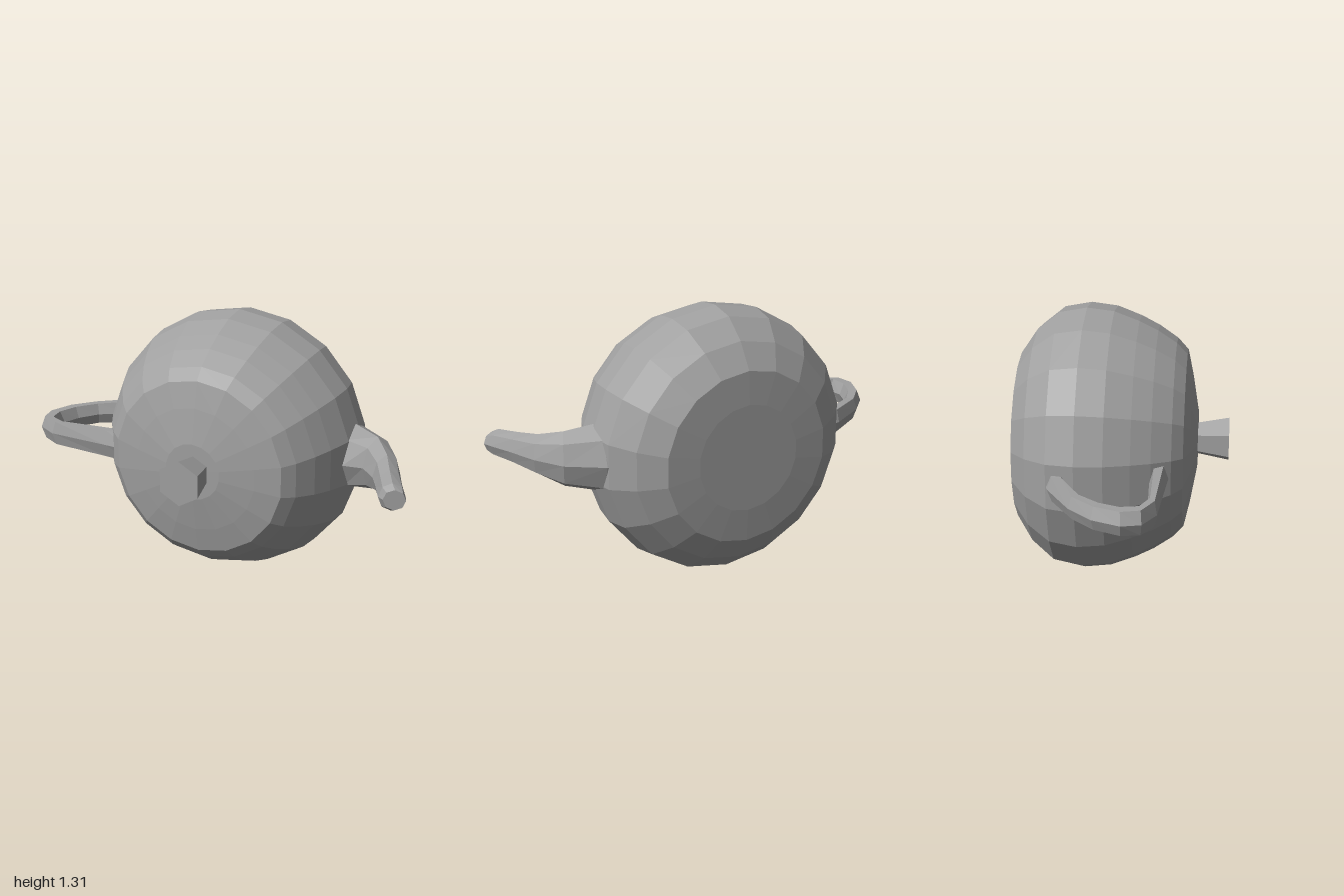
import * as THREE from 'three';

const CX = -0.015, CY = 0.655;

// Sweep in the x-z plane: each ring spans outer point A to inner point B with half-height h.
// Rows are [Ax, Az, Bx, Bz, h]; both ends are capped.
function sweep(rows, sides) {
  const pos = [], idx = [];
  const n = rows.length;
  rows.forEach(([ax, az, bx, bz, h]) => {
    for (let j = 0; j < sides; j++) {
      const t = (j / sides) * Math.PI * 2;
      const u = (1 - Math.cos(t)) / 2;
      pos.push(ax + (bx - ax) * u, CY + h * Math.sin(t), az + (bz - az) * u);
    }
  });
  for (let i = 0; i < n - 1; i++) {
    for (let j = 0; j < sides; j++) {
      const k = (j + 1) % sides;
      const a = i * sides + j, b = i * sides + k, c = a + sides, d = b + sides;
      idx.push(a, b, c, b, d, c);
    }
  }
  for (let j = 1; j < sides - 1; j++) {
    const e = (n - 1) * sides;
    idx.push(0, j + 1, j, e, e + j, e + j + 1);
  }
  const g = new THREE.BufferGeometry();
  g.setAttribute('position', new THREE.Float32BufferAttribute(pos, 3));
  g.setIndex(idx);
  g.computeVertexNormals();
  return g;
}

export function createModel() {
  const group = new THREE.Group();
  const grey = new THREE.MeshStandardMaterial({ color: 0xa0a0a0, flatShading: true, side: THREE.DoubleSide });
  grey.name = 'grey';
  const add = (name, geometry) => {
    const mesh = new THREE.Mesh(geometry, grey);
    mesh.name = name;
    group.add(mesh);
    return mesh;
  };

  // Pot lying on its back: the profile turns about the z axis, base at the rear
  const profile = [
    [0, -0.51], [0.26, -0.51], [0.42, -0.5], [0.54, -0.42], [0.63, -0.31], [0.655, -0.18],
    [0.64, -0.05], [0.595, 0.07], [0.55, 0.16], [0.49, 0.25], [0.435, 0.302],
    [0.31, 0.33], [0.14, 0.36], [0, 0.362],
  ].map(([r, z]) => new THREE.Vector2(r, z));
  const body = new THREE.LatheGeometry(profile, 18);
  body.rotateX(Math.PI / 2);
  add('body', body).position.set(CX, CY, 0);

  // Flared six-sided lid knob
  const knob = new THREE.CylinderGeometry(0.112, 0.078, 0.17, 6);
  knob.rotateX(Math.PI / 2);
  add('lidKnob', knob).position.set(-0.01, CY, 0.427);

  // Handle loop, from the wide part of the pot round to the shoulder
  add('handle', sweep([
    [-0.52, -0.34, -0.54, -0.2, 0.075],
    [-0.66, -0.3, -0.66, -0.21, 0.068],
    [-0.85, -0.18, -0.8, -0.125, 0.062],
    [-0.95, -0.07, -0.87, -0.035, 0.064],
    [-1.0, 0.06, -0.903, 0.05, 0.066],
    [-0.98, 0.15, -0.895, 0.13, 0.068],
    [-0.88, 0.21, -0.82, 0.165, 0.07],
    [-0.56, 0.235, -0.56, 0.155, 0.08],
    [-0.4, 0.25, -0.4, 0.15, 0.085],
  ], 6));

  // Tapering spout curving forward to the tip
  add('spout', sweep([
    [0.45, -0.36, 0.45, 0.03, 0.15],
    [0.61, -0.31, 0.6, -0.01, 0.165],
    [0.78, -0.2, 0.7, -0.02, 0.135],
    [0.87, -0.06, 0.775, 0.06, 0.1],
    [0.93, 0.09, 0.825, 0.16, 0.08],
    [0.985, 0.21, 0.87, 0.26, 0.068],
    [1.0, 0.25, 0.9, 0.282, 0.05],
  ], 8));

  return group;
}
